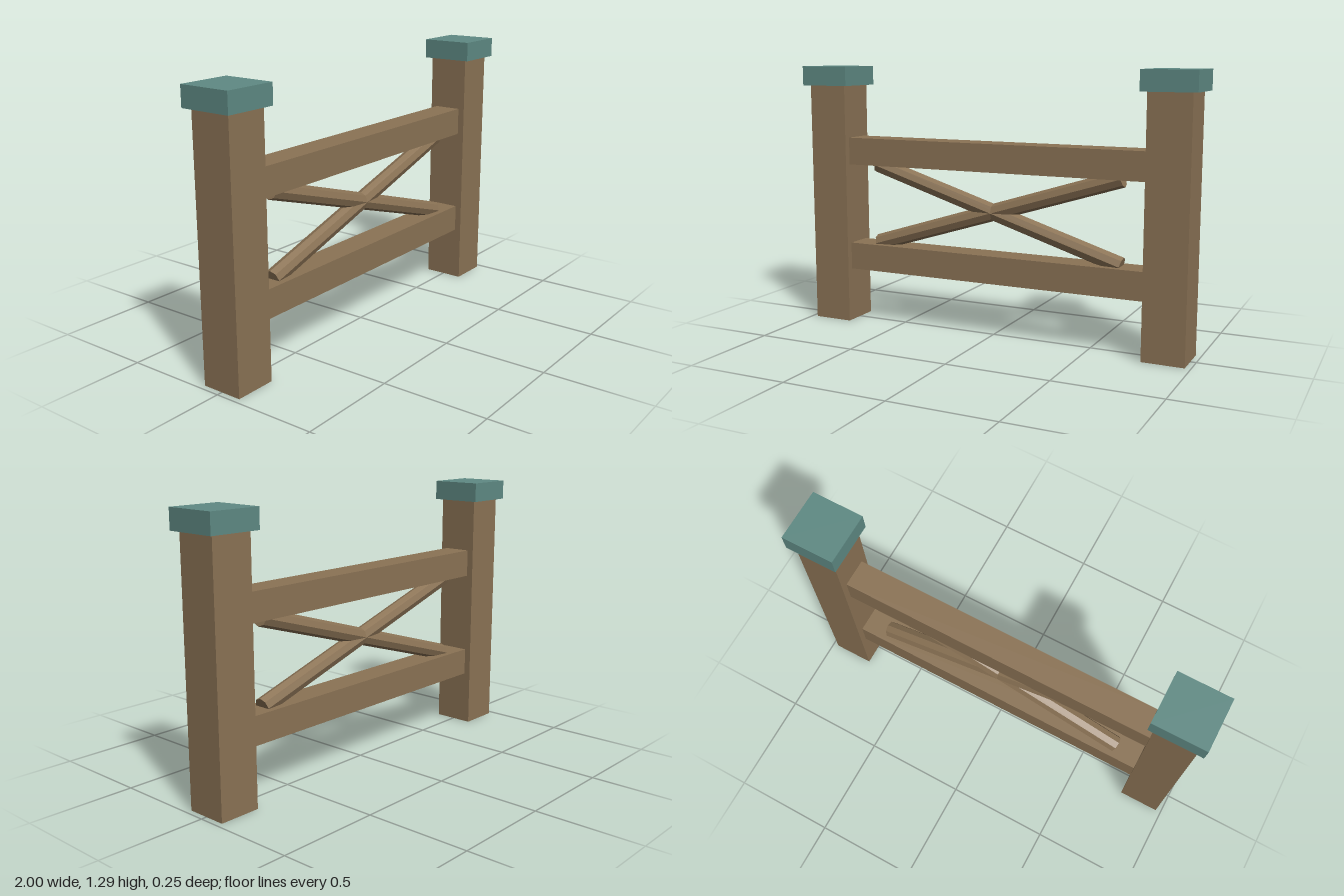
import * as THREE from 'three';

const wood = new THREE.MeshStandardMaterial({ color: 0x8b7355, flatShading: true });
wood.name = 'wood';
const patina = new THREE.MeshStandardMaterial({ color: 0x5f8a84, flatShading: true });
patina.name = 'green cap';

export function createModel() {
  const model = new THREE.Group();
  model.name = 'fenceSection';

  const add = (name, geometry, material, x, y) => {
    const mesh = new THREE.Mesh(geometry, material);
    mesh.name = name;
    mesh.position.set(x, y, 0);
    model.add(mesh);
    return mesh;
  };

  // Square posts with overhanging caps
  for (const [side, s] of [['left', 1], ['right', -1]]) {
    add(side + 'Post', new THREE.BoxGeometry(0.2, 1.2, 0.2), wood, s * 0.873, 0.6);
    add(side + 'PostCap', new THREE.BoxGeometry(0.253, 0.095, 0.253), patina, s * 0.8735, 1.2475);
  }

  // Horizontal rails between the posts
  for (const [name, y] of [['lowerRail', 0.336], ['upperRail', 0.873]]) {
    add(name, new THREE.BoxGeometry(1.55, 0.135, 0.135), wood, 0, y);
  }

  // Crossed eight-sided braces
  const tilt = Math.atan2(0.2, 0.643);
  for (const [name, s] of [['risingBrace', 1], ['fallingBrace', -1]]) {
    const brace = add(name, new THREE.CylinderGeometry(0.041, 0.041, 1.346, 8), wood, 0, 0.606);
    brace.rotation.z = s * (tilt - Math.PI / 2);
  }

  return model;
}
